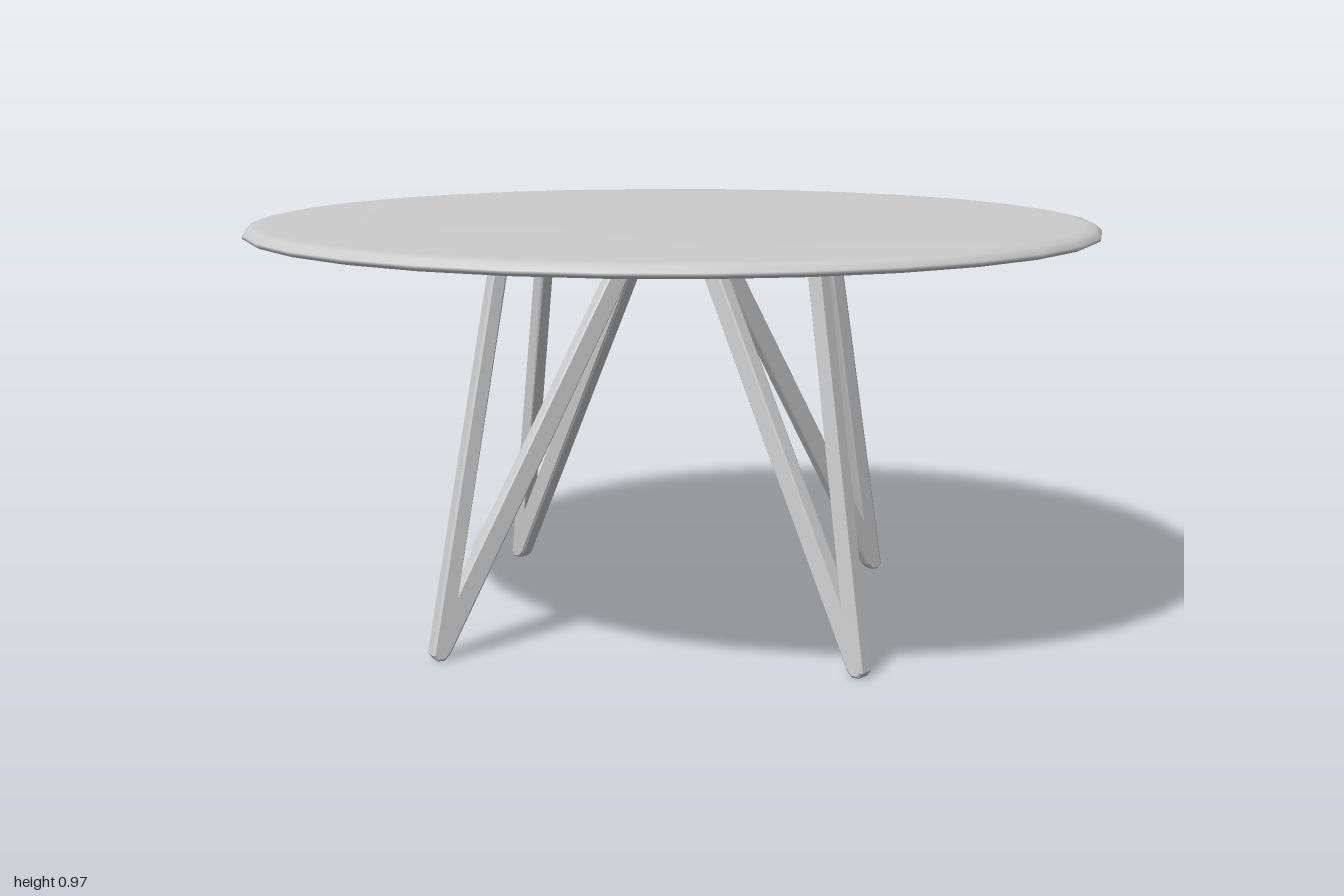
import * as THREE from 'three';

const material = new THREE.MeshStandardMaterial({ color: 0xcccccc });
const TOP = 0.94; // height where the legs meet the tabletop

// Round top with a softly rounded rim and a flat underside
function createTabletop() {
  const group = new THREE.Group();
  group.name = 'tabletop';
  const profile = [
    [0.99, 0.935], [1, 0.94], [1, 0.947], [0.986, 0.96], [0.96, 0.965], [0.72, 0.967], [0, 0.968],
  ].map(([r, y]) => new THREE.Vector2(r, y));
  const slab = new THREE.Mesh(new THREE.LatheGeometry(profile, 32), material);
  slab.name = 'tabletopSurface';
  const underside = new THREE.Mesh(new THREE.CircleGeometry(0.99, 32), material);
  underside.name = 'tabletopUnderside';
  underside.rotation.x = Math.PI / 2;
  underside.position.y = 0.935;
  group.add(slab, underside);
  return group;
}

// Triangular frame outline: u runs outward from the table's axis, y is up
function frameShape() {
  const points = (list) => list.map(([u, y]) => new THREE.Vector2(u, y));
  const shape = new THREE.Shape(points([
    [0.075, TOP], [0.627, 0.014], [0.642, 0], [0.66, 0], [0.671, 0.014], [0.459, TOP],
  ]));
  shape.holes.push(new THREE.Path(points([[0.156, 0.89], [0.434, 0.89], [0.602, 0.145]])));
  return shape;
}

// One leg frame, set diagonally and leaning outward; sx and sz pick the corner
function createLeg(name, sx, sz) {
  const depth = 0.04, bevel = 0.005;
  const geometry = new THREE.ExtrudeGeometry(frameShape(), {
    depth: depth - 2 * bevel, bevelEnabled: true, bevelSegments: 1,
    bevelSize: bevel, bevelThickness: bevel, bevelOffset: -bevel,
  });
  geometry.translate(0, 0, bevel - depth / 2);
  const dx = 0.823, dz = 0.568;
  const pos = geometry.attributes.position;
  for (let i = 0; i < pos.count; i++) {
    const u = pos.getX(i), y = pos.getY(i);
    const lean = 0.0165 + 0.092 * (1 - y / TOP);
    const w = pos.getZ(i) * sx * sz + lean;
    pos.setXYZ(i, sx * (u * dx - w * dz), y, sz * (u * dz + w * dx));
  }
  geometry.computeVertexNormals();
  const leg = new THREE.Mesh(geometry, material);
  leg.name = name;
  return leg;
}

export function createModel() {
  const table = new THREE.Group();
  table.name = 'roundTable';
  table.add(createTabletop());
  for (const sx of [1, -1]) {
    for (const sz of [1, -1]) {
      table.add(createLeg((sz > 0 ? 'front' : 'back') + (sx > 0 ? 'Left' : 'Right') + 'Leg', sx, sz));
    }
  }
  return table;
}
